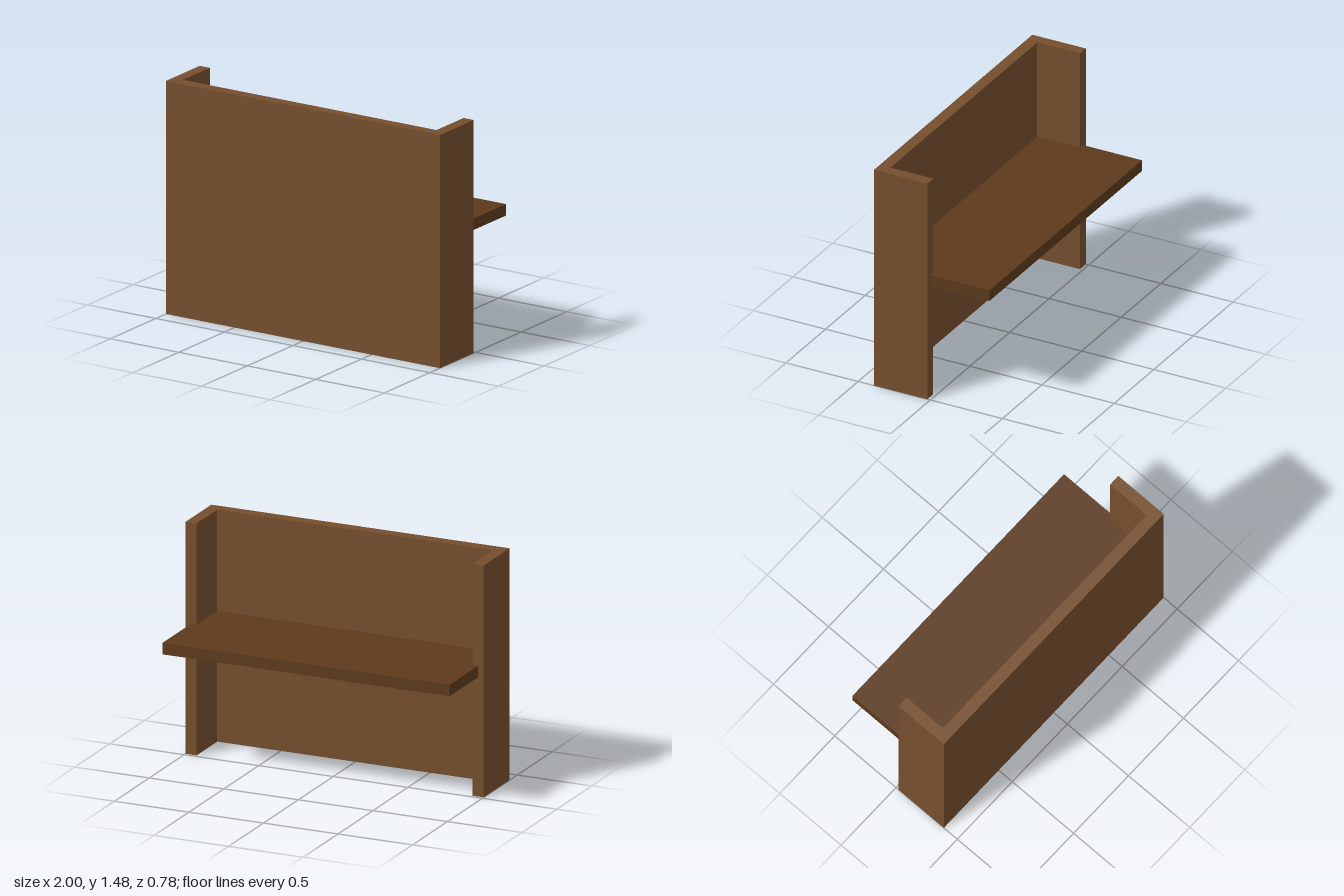
import * as THREE from 'three';

export function createModel() {
  const model = new THREE.Group();
  const wood = new THREE.MeshStandardMaterial({ color: 0x754e2d });
  const darkWood = new THREE.MeshStandardMaterial({ color: 0x5c391b });
  const T = 0.074; // board thickness
  const H = 1.483, front = 0.39, back = 0.02, panelBack = front - T;

  // Box given by its minimum and maximum corners
  function board(name, material, min, max) {
    const size = max.map((v, i) => v - min[i]);
    const mesh = new THREE.Mesh(new THREE.BoxGeometry(...size), material);
    mesh.position.set(...max.map((v, i) => (v + min[i]) / 2));
    mesh.name = name;
    model.add(mesh);
  }

  // Upright front panel between the two side boards
  board('frontPanel', wood, [-1 + T, 0, panelBack], [1 - T, H, front]);
  board('leftSide', wood, [1 - T, 0, back], [1, H, front]);
  board('rightSide', wood, [-1, 0, back], [-1 + T, H, front]);

  // Counter shelf, let into the sides and sticking out at the back
  board('shelf', darkWood, [-0.963, 0.763, -0.39], [0.963, 0.836, panelBack]);

  // Diagonal braces under the shelf: profile in (-z, y), extruded along x
  const profile = new THREE.Shape([
    new THREE.Vector2(-panelBack, 0.51),
    new THREE.Vector2(-0.06, 0.763),
    new THREE.Vector2(-0.164, 0.763),
    new THREE.Vector2(-panelBack, 0.612),
  ]);
  const braceGeometry = new THREE.ExtrudeGeometry(profile, { depth: T, bevelEnabled: false });
  braceGeometry.translate(0, 0, -T / 2).rotateY(Math.PI / 2);
  [['leftBrace', 1], ['middleBrace', 0], ['rightBrace', -1]].forEach(([name, i]) => {
    const brace = new THREE.Mesh(braceGeometry, darkWood);
    brace.position.x = 0.03 + i * 0.596;
    brace.name = name;
    model.add(brace);
  });

  return model;
}
